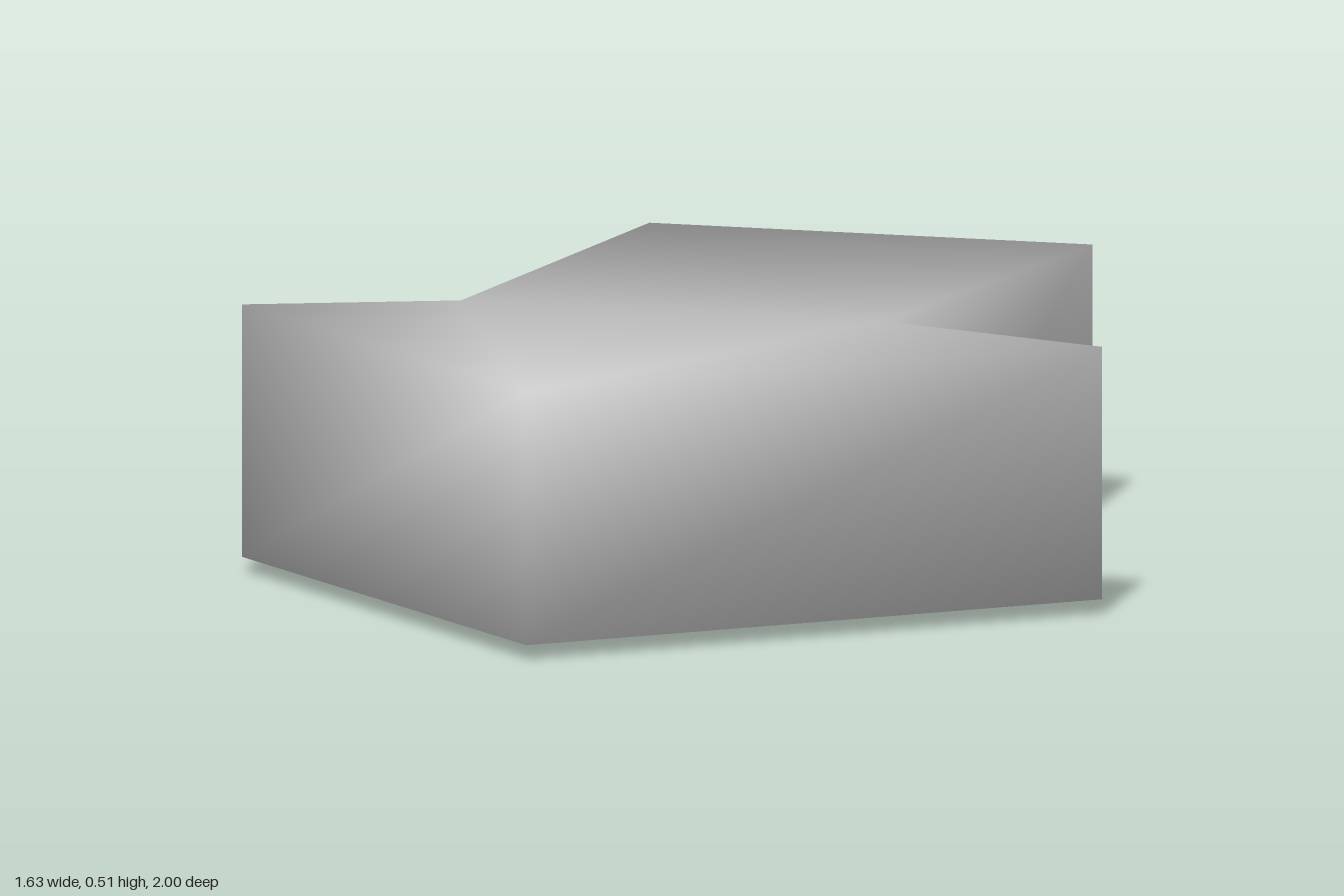
import * as THREE from 'three';

// Outline seen from above, counter-clockwise: [x, z, half height]
const outline = [
  [0, 1, 0.23],         // tip
  [0.815, 0.155, 0.23], // left wing
  [0.4, 0.155, 0.257],  // left inner corner
  [0.42, -1, 0.23],     // shaft end
  [-0.42, -1, 0.23],
  [-0.4, 0.155, 0.257], // right inner corner
  [-0.815, 0.155, 0.23] // right wing
];
const MID = 0.257;

// Smooth shading: normals shared at each corner, weighted by face angle
function smoothGeometry(points, faces) {
  const normals = points.map(() => new THREE.Vector3());
  const index = [];
  for (const f of faces) {
    const n = f.length;
    const e1 = points[f[1]].clone().sub(points[f[0]]);
    const e2 = points[f[2]].clone().sub(points[f[0]]);
    const normal = e1.cross(e2).normalize();
    f.forEach((v, i) => {
      const a = points[f[(i + 1) % n]].clone().sub(points[v]);
      const b = points[f[(i + n - 1) % n]].clone().sub(points[v]);
      normals[v].addScaledVector(normal, a.angleTo(b));
    });
    for (let i = 1; i < n - 1; i++) index.push(f[0], f[i], f[i + 1]);
  }
  const geometry = new THREE.BufferGeometry().setFromPoints(points);
  const flat = normals.flatMap((v) => v.normalize().toArray());
  geometry.setAttribute('normal', new THREE.Float32BufferAttribute(flat, 3));
  geometry.setIndex(index);
  return geometry;
}

export function createModel() {
  const grey = new THREE.MeshStandardMaterial({ color: 0xcccccc });
  grey.name = 'light grey';

  const count = outline.length;
  const points = [1, -1].flatMap((side) =>
    outline.map(([x, z, h]) => new THREE.Vector3(x, MID + side * h, z)));

  // Top and bottom: three head triangles and the shaft
  const caps = [[0, 1, 2], [0, 2, 5], [0, 5, 6], [2, 3, 4, 5]];
  const faces = [...caps, ...caps.map((f) => f.map((i) => i + count).reverse())];

  // Walls around the outline
  for (let i = 0; i < count; i++) {
    const j = (i + 1) % count;
    faces.push([i + count, j + count, j, i]);
  }

  const arrow = new THREE.Mesh(smoothGeometry(points, faces), grey);
  arrow.name = 'arrow';

  const model = new THREE.Group();
  model.name = 'arrowModel';
  model.add(arrow);
  return model;
}
